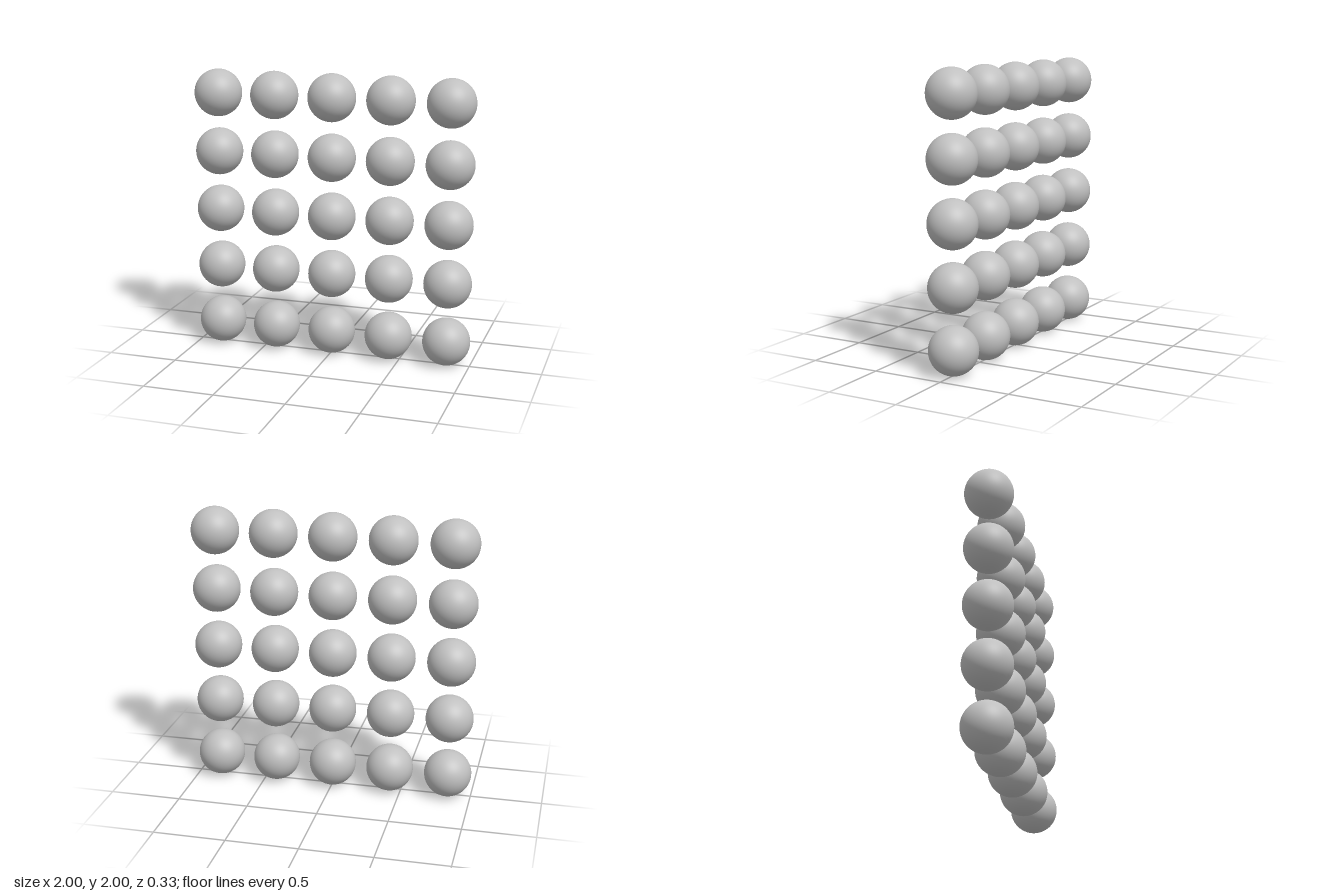
import * as THREE from 'three';

const COUNT = 5;          // spheres per row and per column
const RADIUS = 1 / 6;
const SPACING = 5 / 12;

export function createModel() {
  const model = new THREE.Group();
  model.name = 'sphereGrid';

  const grey = new THREE.MeshStandardMaterial({ color: 0xc0c0c0 });
  grey.name = 'light grey';

  const ball = new THREE.SphereGeometry(RADIUS, 48, 32);

  // Upright square grid of equal, separate spheres
  for (let row = 0; row < COUNT; row++) {
    const rowGroup = new THREE.Group();
    rowGroup.name = `row${row + 1}`;
    rowGroup.position.y = RADIUS + row * SPACING;
    for (let col = 0; col < COUNT; col++) {
      const sphere = new THREE.Mesh(ball, grey);
      sphere.name = `sphere${col + 1}`;
      sphere.position.x = (col - (COUNT - 1) / 2) * SPACING;
      rowGroup.add(sphere);
    }
    model.add(rowGroup);
  }
  return model;
}
